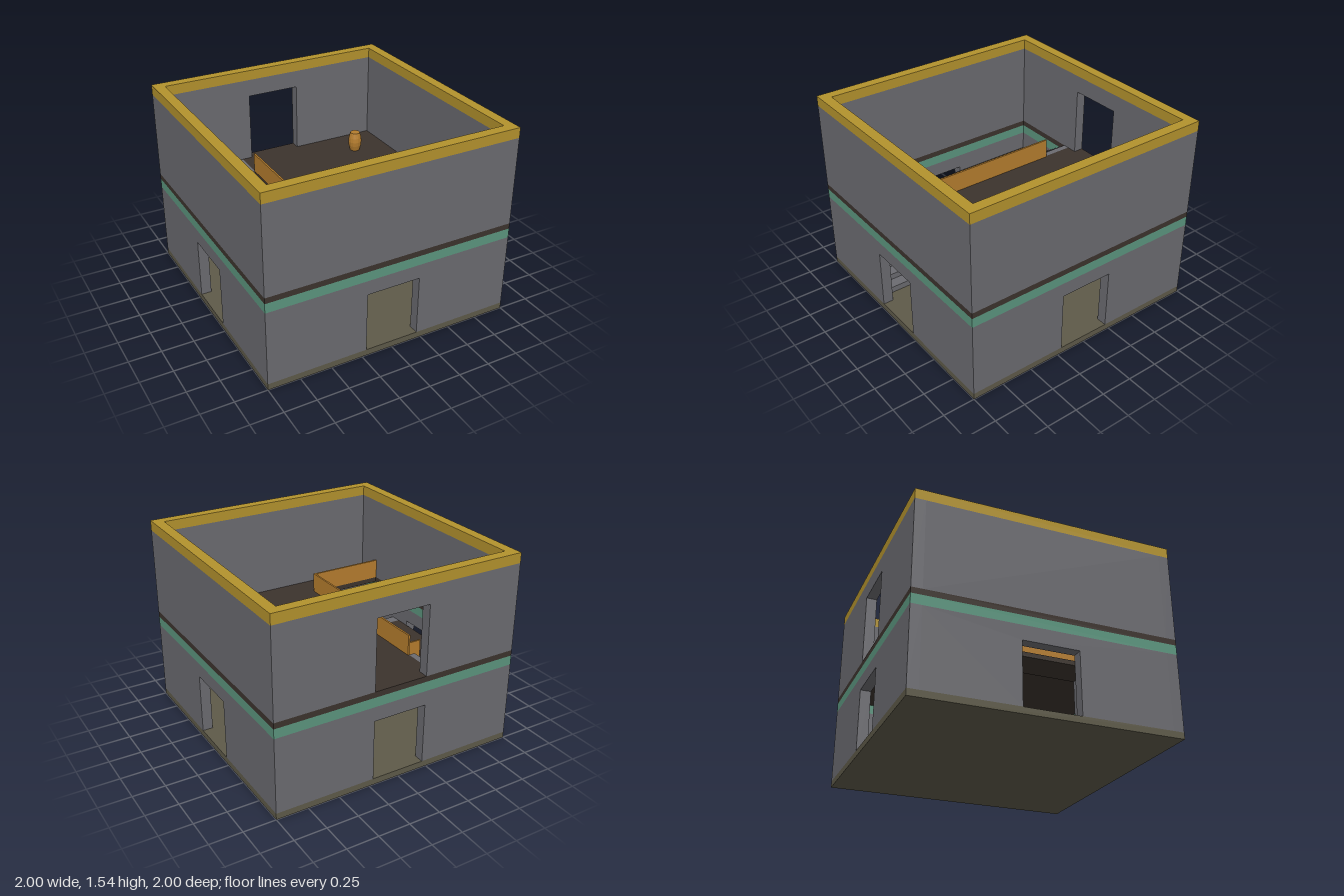
import * as THREE from 'three';

const mat = (name, color) => Object.assign(new THREE.MeshStandardMaterial({ color }), { name });

export function createModel() {
  const stone = mat('grey stone', 0x6b6b70);
  const base = mat('olive ground', 0x5e5a49);
  const dark = mat('dark floor', 0x3c332d);
  const green = mat('green band', 0x5b957e);
  const gold = mat('gold trim', 0xb3922d);
  const wood = mat('orange wood', 0xb57d2e);

  const model = new THREE.Group();
  model.name = 'twoStoreyHouse';
  const IN = 0.918;            // inner face of the walls
  const T = 1 - IN;            // wall thickness
  const GROUND = 0.05, MEZZ = 0.49, FLOOR = 0.765;

  const add = (name, geo, material, parent = model) => {
    const m = new THREE.Mesh(geo, material);
    m.name = name;
    parent.add(m);
    return m;
  };
  // box given by its limits on each axis
  const block = (name, material, [x0, x1], [y0, y1], [z0, z1], parent) => {
    const m = add(name, new THREE.BoxGeometry(x1 - x0, y1 - y0, z1 - z0), material, parent);
    m.position.set((x0 + x1) / 2, (y0 + y1) / 2, (z0 + z1) / 2);
    return m;
  };
  const polygon = (pts, Type = THREE.Shape) => new Type(pts.map(([x, y]) => new THREE.Vector2(x, y)));
  const rect = (x0, x1, z0, z1, Type) => polygon([[x0, -z0], [x0, -z1], [x1, -z1], [x1, -z0]], Type);
  // horizontal slab from a plan outline
  const slab = (name, material, shape, y0, y1) => {
    const geo = new THREE.ExtrudeGeometry(shape, { depth: y1 - y0, bevelEnabled: false });
    geo.rotateX(-Math.PI / 2);
    add(name, geo, material).position.y = y0;
  };
  const plate = (hole) => {
    const s = rect(-1, 1, -1, 1);
    s.holes.push(rect(...hole, THREE.Path));
    return s;
  };
  const ring = () => plate([-IN, IN, -IN, IN]);

  // Ground slab, bands and upper floor with stairwell
  block('groundSlab', base, [-1, 1], [0, GROUND], [-1, 1]);
  slab('greenBand', green, ring(), 0.645, 0.72);
  slab('upperFloor', dark, plate([-IN, -0.3, -IN, 0.7]), 0.72, FLOOR);
  slab('roofTrim', gold, ring(), 1.46, 1.54);

  // Walls, with a doorway where a door top is given
  const wall = (name, y0, y1, doorTop, turn) => {
    const half = turn % 2 ? IN : 1;
    const pts = [[-half, y0]];
    if (doorTop) pts.push([-0.215, y0], [-0.215, doorTop], [0.215, doorTop], [0.215, y0]);
    pts.push([half, y0], [half, y1], [-half, y1]);
    const geo = new THREE.ExtrudeGeometry(polygon(pts), { depth: T, bevelEnabled: false });
    geo.translate(0, 0, IN);
    add(name, geo, stone).rotation.y = turn * Math.PI / 2;
  };
  ['front', 'left', 'back', 'right'].forEach((side, i) => {
    wall(side + 'LowerWall', GROUND, 0.645, 0.53, i);
    wall(side + 'UpperWall', FLOOR, 1.46, side === 'back' ? 1.32 : 0, i);
  });

  // L-shaped mezzanine
  slab('mezzanine', dark, polygon([
    [-IN, IN], [-IN, -0.33], [-0.67, -0.33], [-0.67, 0.31], [-0.3, 0.31], [-0.3, IN],
  ]), 0.455, MEZZ);

  // Lower stair: up towards -x, corner landing, then towards -z
  const lower = new THREE.Group();
  lower.name = 'lowerStair';
  model.add(lower);
  const rise = (MEZZ - GROUND) / 9;
  const run = 0.37 / 4, run2 = 0.33 / 4;
  for (let i = 0; i < 4; i++) {
    const x = -0.3 - i * run, z = 0.66 - i * run2;
    block('firstFlightStep', stone, [x - run, x], [GROUND, GROUND + rise * (i + 1)], [0.66, IN], lower);
    block('secondFlightStep', stone, [-IN, -0.67], [GROUND, GROUND + rise * (i + 6)], [z - run2, z], lower);
  }
  block('cornerLanding', stone, [-IN, -0.67], [GROUND, GROUND + rise * 5], [0.66, IN], lower);

  // Upper stair: from the mezzanine towards +x
  const upper = new THREE.Group();
  upper.name = 'upperStair';
  model.add(upper);
  for (let i = 0; i < 8; i++) {
    const x = -0.7 + i * 0.05;
    block('step', stone, [x, x + 0.05], [MEZZ, MEZZ + (FLOOR - MEZZ) * (i + 1) / 8], [-IN, -0.67], upper);
  }

  // Solid railings
  block('mezzanineSideRail', wood, [-0.315, -0.3], [MEZZ, 0.64], [-0.67, -0.31]);
  block('mezzanineEndRail', wood, [-0.67, -0.3], [MEZZ, 0.64], [-0.315, -0.3]);
  block('stairwellSideRail', wood, [-0.305, -0.29], [FLOOR, 0.925], [-0.67, 0.71]);
  block('stairwellEndRail', wood, [-IN, -0.305], [FLOOR, 0.925], [0.693, 0.71]);

  // Small barrel on the upper floor
  const profile = [[0, 0], [0.04, 0], [0.053, 0.045], [0.057, 0.08], [0.053, 0.115], [0.04, 0.16], [0, 0.16]]
    .map(([r, y]) => new THREE.Vector2(r, y));
  const barrel = add('barrel', new THREE.LatheGeometry(profile, 16).toNonIndexed(), wood);
  barrel.geometry.computeVertexNormals();
  barrel.position.set(0.63, FLOOR, -0.64);

  return model;
}
